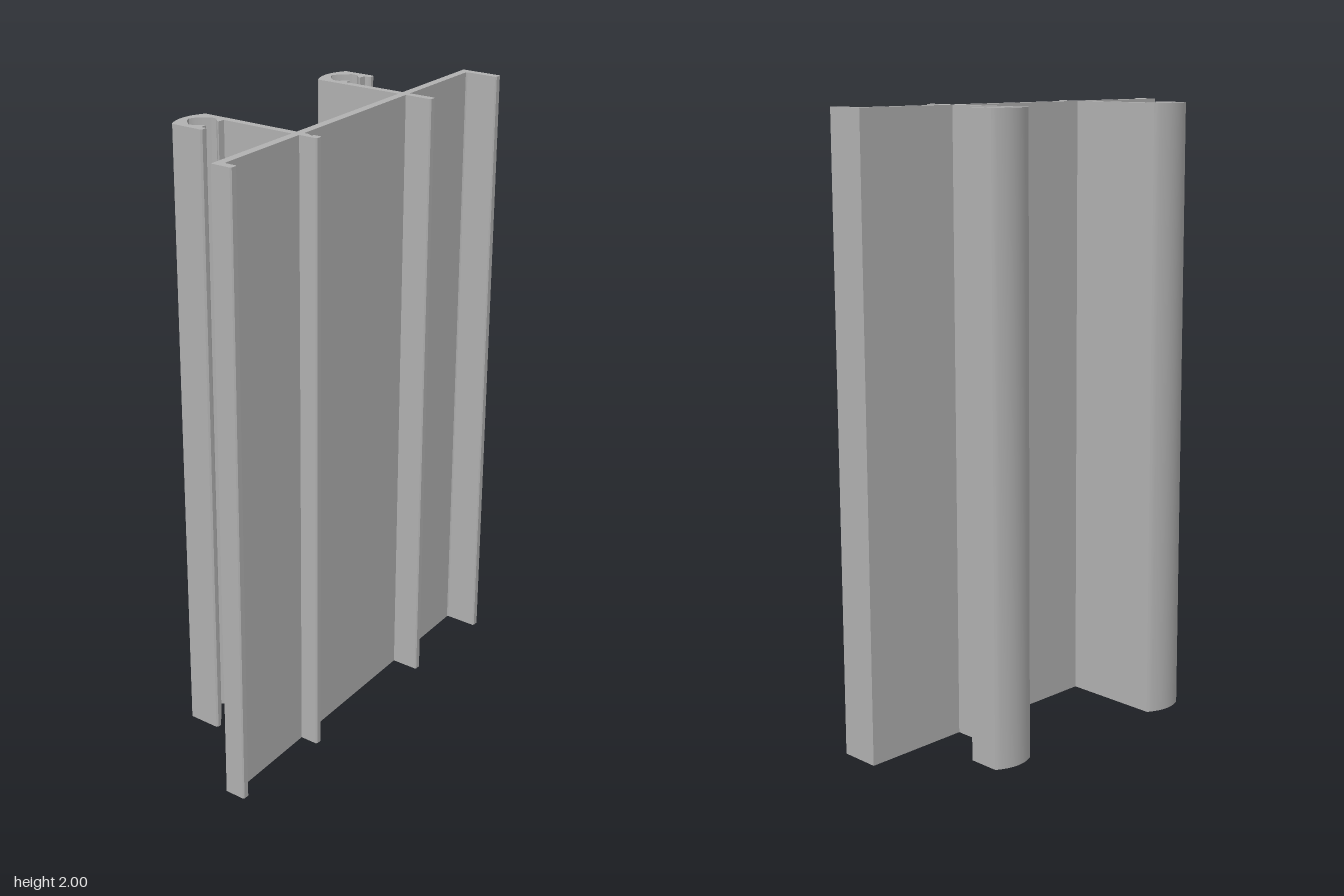
import * as THREE from 'three';
import { toCreasedNormals } from 'three/addons/utils/BufferGeometryUtils.js';

const HEIGHT = 2;

// Front and back edges of the slightly slanted plate, as z for a given x
const backZ = (x) => 0.12 - 0.0535 * x;
const frontZ = (x) => backZ(x) + 0.027;

export function createModel() {
  const aluminium = new THREE.MeshStandardMaterial({ color: 0xb0b0b0 });
  aluminium.name = 'aluminium';
  const group = new THREE.Group();
  group.name = 'extrudedProfile';

  // Extrude an [x, z] outline upward; side -1 mirrors the outline in x
  function addProfile(name, points, side = 1) {
    const shape = new THREE.Shape(points.map(([x, z]) => new THREE.Vector2(x * side, -z)));
    let geometry = new THREE.ExtrudeGeometry(shape, { depth: HEIGHT, bevelEnabled: false });
    geometry.rotateX(-Math.PI / 2);
    geometry = toCreasedNormals(geometry, 0.4);
    const mesh = new THREE.Mesh(geometry, aluminium);
    mesh.name = name;
    group.add(mesh);
  }

  // Plate with a forward lip along each edge
  addProfile('platePanel', [
    [-0.665, backZ(-0.665)], [0.665, backZ(0.665)],
    [0.665, 0.22], [0.661, 0.224], [0.643, 0.224], [0.639, 0.22],
    [0.639, frontZ(0.639) + 0.004], [0.635, frontZ(0.635)],
    [-0.635, frontZ(-0.635)], [-0.639, frontZ(-0.639) + 0.004],
    [-0.639, 0.22], [-0.643, 0.224], [-0.661, 0.224], [-0.665, 0.22],
  ]);

  // Domed back of each hook
  const dome = [];
  for (let i = 0; i <= 12; i++) {
    const t = i / 6 - 1;
    dome.push([0.344 + t * 0.07, -0.224 + 0.02 * t * t]);
  }

  for (const side of [-1, 1]) {
    const label = side > 0 ? 'left' : 'right';

    // Leg rising from the plate into a hook with a keyhole channel
    addProfile(label + 'HookLeg', [
      [0.27, backZ(0.27 * side)], [0.27, -0.2],
      ...dome,
      [0.418, -0.2], [0.418, -0.096], [0.413, -0.091], [0.4, -0.091], [0.395, -0.096],
      [0.395, -0.111], [0.371, -0.113], [0.373, -0.12], [0.392, -0.139],
      [0.394, -0.16], [0.378, -0.178], [0.362, -0.194], [0.344, -0.202],
      [0.326, -0.194], [0.31, -0.178], [0.294, -0.16], [0.296, -0.139],
      [0.315, -0.12], [0.317, -0.113], [0.295, -0.111],
      [0.295, backZ(0.295 * side)],
    ], side);

    // Fin on the front of the plate; one has a small groove
    const groove = side < 0
      ? [[0.27, 0.18], [0.278, 0.186], [0.278, 0.193], [0.27, 0.199]] : [];
    addProfile(label + 'FrontFin', [
      [0.27, frontZ(0.27 * side)], ...groove,
      [0.27, 0.22], [0.274, 0.224], [0.291, 0.224], [0.295, 0.22],
      [0.295, frontZ(0.295 * side)],
    ], side);
  }

  return group;
}
